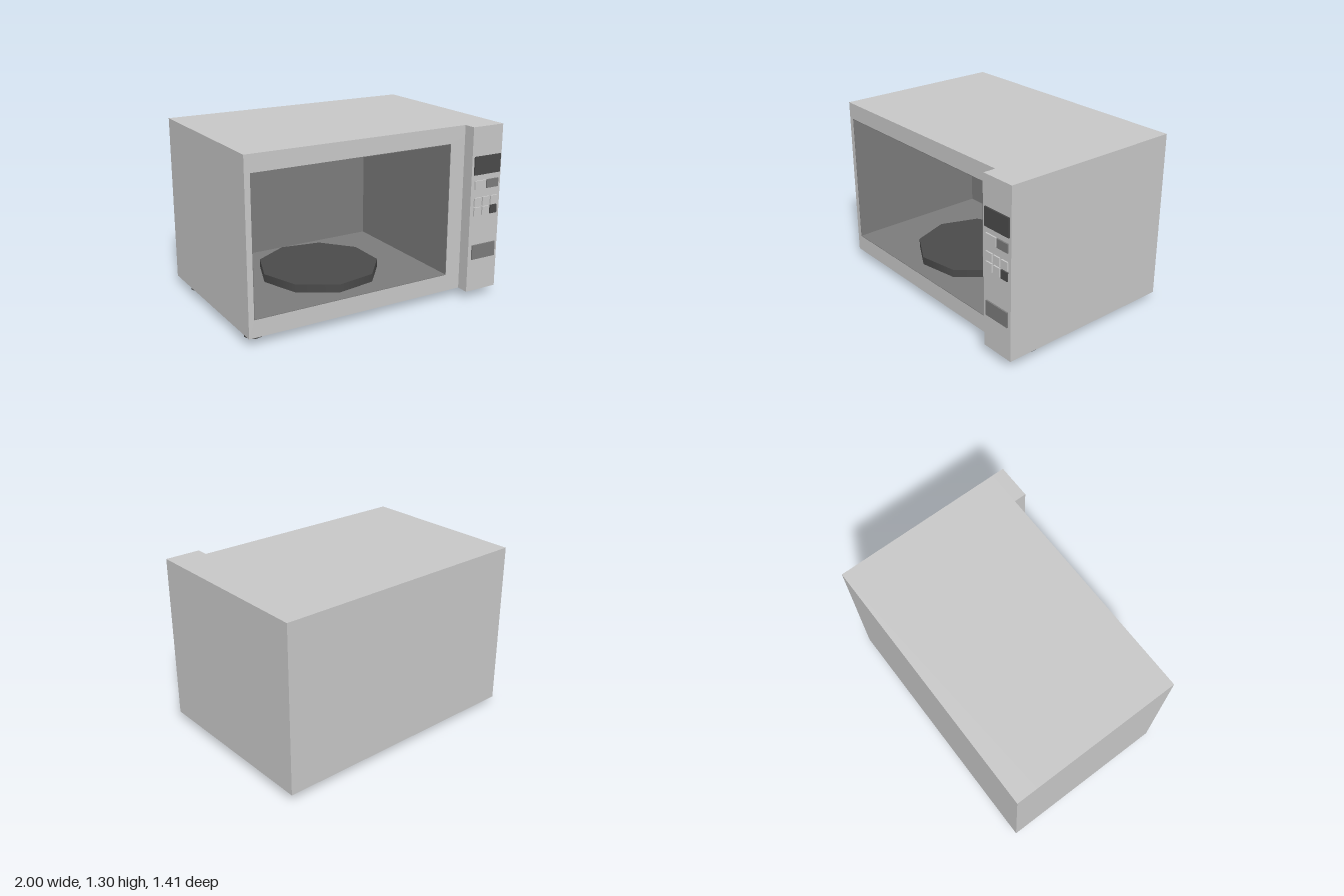
import * as THREE from 'three';

const material = (name, color) => {
  const m = new THREE.MeshStandardMaterial({ color });
  m.name = name;
  return m;
};

// Rectangle outline as a point list
const rect = (x0, x1, y0, y1) => [[x0, y0], [x1, y0], [x1, y1], [x0, y1]]
  .map(([x, y]) => new THREE.Vector2(x, y));

export function createModel() {
  const casing = material('light grey casing', 0xc7c7c7);
  const lining = material('mid grey lining', 0x7b7b7b);
  const dark = material('dark grey', 0x4a4a4a);
  const model = new THREE.Group();
  model.name = 'microwave';

  const add = (name, geometry, mat, parent = model) => {
    const mesh = new THREE.Mesh(geometry, mat);
    mesh.name = name;
    parent.add(mesh);
    return mesh;
  };
  const box = (name, mat, x0, x1, y0, y1, z0, z1, parent) =>
    add(name, new THREE.BoxGeometry(x1 - x0, y1 - y0, z1 - z0), mat, parent)
      .position.set((x0 + x1) / 2, (y0 + y1) / 2, (z0 + z1) / 2);
  const tube = (name, mat, outer, inner, z0, z1) => {
    const shape = new THREE.Shape(outer);
    shape.holes.push(new THREE.Path(inner));
    const geometry = new THREE.ExtrudeGeometry(shape, { depth: z1 - z0, bevelEnabled: false });
    add(name, geometry, mat).position.z = z0;
  };

  const bottom = 0.058, top = 1.305, back = -0.705, front = 0.6;
  const cavityBack = -0.545, t = 0.004;
  const [cx0, cx1, cy0, cy1] = [-0.955, 0.605, 0.19, 1.178];

  // Casing with an open front, closed at the back
  const opening = rect(cx0 - t, cx1 + t, cy0 - t, cy1 + t);
  tube('casing', casing, rect(-1, 1, bottom, top), opening, cavityBack, front);
  box('rearCasing', casing, -1, 1, bottom, top, back, cavityBack);

  // Cavity lining and rear wall
  tube('cavityLining', lining, opening, rect(cx0, cx1, cy0, cy1), cavityBack, front);
  box('cavityBackWall', lining, cx0, cx1, cy0, cy1, cavityBack, cavityBack + t);

  // Nine-sided turntable
  const plate = new THREE.CylinderGeometry(0.451, 0.451, 0.06, 9, 1, false, -Math.PI / 2);
  add('turntable', plate, dark).position.set(-0.164, cy0 + 0.03, 0.05);

  // Control panel standing proud of the front
  const panel = new THREE.Group();
  panel.name = 'controlPanel';
  model.add(panel);
  const face = 0.694, proud = 0.705;
  box('panelBody', casing, 0.733, 1, bottom, top, front, face, panel);
  const key = (name, mat, x0, x1, y0, y1) => box(name, mat, x0, x1, y0, y1, face, proud, panel);
  key('display', dark, 0.752, 0.986, 0.953, 1.089);
  key('leftModeButton', casing, 0.763, 0.86, 0.845, 0.909);
  key('rightModeButton', lining, 0.87, 0.975, 0.845, 0.909);
  key('doorButton', lining, 0.763, 0.975, 0.308, 0.419);

  // Two rows of three small keys, the last one dark
  [0.718, 0.645].forEach((y, row) => {
    [0.763, 0.838, 0.913].forEach((x, col) => {
      key('key', row === 1 && col === 2 ? dark : casing, x, x + 0.06, y, y + 0.063);
    });
  });

  // Feet
  const foot = new THREE.CylinderGeometry(0.069, 0.069, bottom, 9, 1, false, -Math.PI / 2);
  for (const x of [-0.894, 0.874]) {
    for (const z of [0.437, -0.515]) {
      add('foot', foot, dark).position.set(x, bottom / 2, z);
    }
  }
  return model;
}
